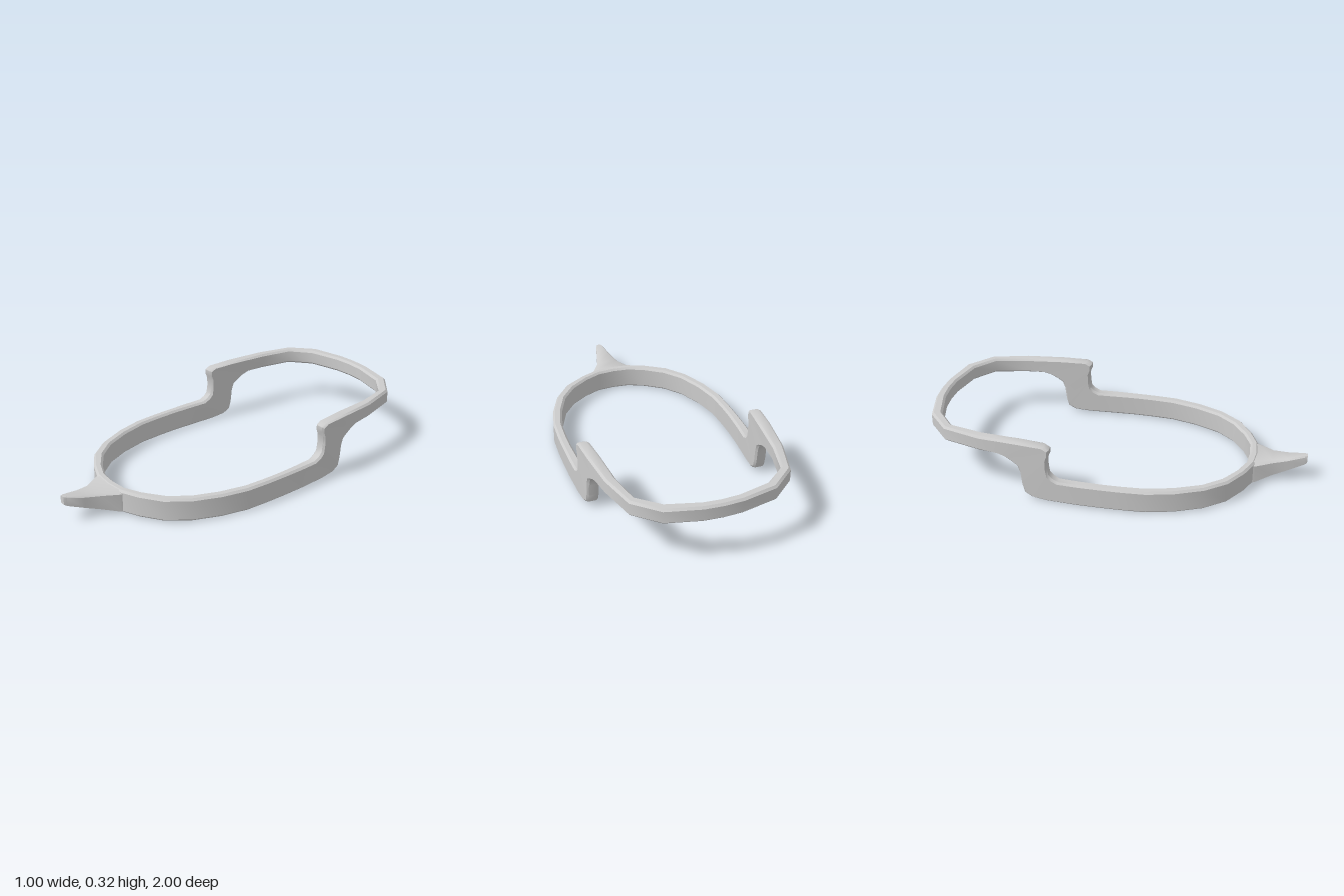
import * as THREE from 'three';
import { toCreasedNormals } from 'three/addons/utils/BufferGeometryUtils.js';

const material = new THREE.MeshStandardMaterial({ color: 0xcccccc });

// Skin a list of equal-length rings; either closed into a loop or capped.
function loft(rings, closed) {
  const n = rings[0].length, m = rings.length, index = [];
  for (let i = 0; i < (closed ? m : m - 1); i++) {
    const a = i * n, b = ((i + 1) % m) * n;
    for (let j = 0; j < n; j++) {
      const k = (j + 1) % n;
      index.push(a + j, a + k, b + k, a + j, b + k, b + j);
    }
  }
  if (!closed) {
    const e = (m - 1) * n;
    for (let j = 1; j < n - 1; j++) index.push(0, j + 1, j, e, e + j, e + j + 1);
  }
  const g = new THREE.BufferGeometry();
  g.setAttribute('position', new THREE.Float32BufferAttribute(rings.flat().flatMap((p) => p.toArray()), 3));
  g.setIndex(index);
  return toCreasedNormals(g, 0.7);
}

// Bevelled rectangular section from its four corners.
function section(outerTop, outerBottom, innerBottom, innerTop, bevel) {
  const c = [outerTop, outerBottom, innerBottom, innerTop];
  return c.flatMap((p, i) => [c[(i + 3) % 4], c[(i + 1) % 4]].map((q) =>
    p.clone().add(q.clone().sub(p).setLength(bevel))));
}

// Interpolate x from a list of [z, x] with falling z.
function xAt(table, z) {
  let i = 0;
  while (i < table.length - 2 && table[i + 1][0] > z) i++;
  const [z0, x0] = table[i], [z1, x1] = table[i + 1];
  return x0 + (x1 - x0) * (z - z0) / (z1 - z0);
}

function createBand() {
  const V = (x, y, z) => new THREE.Vector3(x, y, z);
  const flat = ([xo, zo, xi, zi], y0, y1) =>
    [V(xo, y1, zo), V(xo, y0, zo), V(xi, y0, zi), V(xi, y1, zi)];

  // Lower front bow: outer x, z and inner x, z
  const front = [
    [0, 0.745, 0, 0.7], [0.1, 0.735, 0.09, 0.692], [0.2, 0.692, 0.178, 0.652], [0.31, 0.62, 0.277, 0.582],
    [0.395, 0.51, 0.352, 0.488], [0.455, 0.37, 0.408, 0.355], [0.49, 0.23, 0.443, 0.215],
    [0.498, 0.1, 0.45, 0.1], [0.5, 0, 0.452, 0], [0.5, -0.12, 0.448, -0.12],
  ].map((p) => flat(p, 0, 0.125));

  // Step between levels: top z, y and bottom z, y
  const outerX = [[-0.12, 0.5], [-0.27, 0.496], [-0.4, 0.488], [-0.54, 0.474]];
  const innerX = [[-0.12, 0.448], [-0.27, 0.437], [-0.4, 0.424], [-0.54, 0.414]];
  const step = [
    [-0.22, 0.125, -0.28, 0.003], [-0.25, 0.14, -0.36, 0.012], [-0.27, 0.16, -0.4, 0.035],
    [-0.276, 0.2, -0.412, 0.08], [-0.276, 0.25, -0.42, 0.15], [-0.264, 0.28, -0.433, 0.188],
    [-0.264, 0.306, -0.46, 0.207], [-0.29, 0.32, -0.5, 0.23], [-0.42, 0.325, -0.54, 0.242],
  ].map(([zt, yt, zb, yb]) => [
    V(xAt(outerX, zt), yt, zt), V(xAt(outerX, zb), yb, zb),
    V(xAt(innerX, zb), yb, zb), V(xAt(innerX, zt), yt, zt)]);

  // Raised rear bow
  const rear = [
    [0.46, -0.64, 0.404, -0.64], [0.405, -0.84, 0.366, -0.81], [0.28, -0.952, 0.26, -0.9],
    [0.1, -0.994, 0.09, -0.944], [0, -1, 0, -0.95],
  ].map((p) => flat(p, 0.242, 0.325));

  const half = [...front, ...step, ...rear];
  const mirrored = half.slice(1, -1).reverse().map((s) => s.map((p) => V(-p.x, p.y, p.z)));
  return loft([...half, ...mirrored].map((s) => section(...s, 0.011)), true);
}

// Flared prong: z, half width, bottom y, top y
function createProng() {
  const rings = [
    [0.72, 0.118, 0.008, 0.122], [0.74, 0.112, 0.01, 0.121], [0.82, 0.065, 0.032, 0.118],
    [0.9, 0.043, 0.06, 0.126], [0.985, 0.021, 0.093, 0.143], [1, 0.014, 0.102, 0.144],
  ].map(([z, w, y0, y1]) => {
    const t = w * 0.75, b = (y1 - y0) * 0.12;
    return [[w, y0], [w, y1 - b], [t, y1], [-t, y1], [-w, y1 - b], [-w, y0]]
      .map(([x, y]) => new THREE.Vector3(x, y, z));
  });
  return loft(rings, false);
}

export function createModel() {
  const group = new THREE.Group();
  for (const [name, geometry] of [['steppedBand', createBand()], ['frontProng', createProng()]]) {
    const mesh = new THREE.Mesh(geometry, material);
    mesh.name = name;
    group.add(mesh);
  }
  return group;
}
